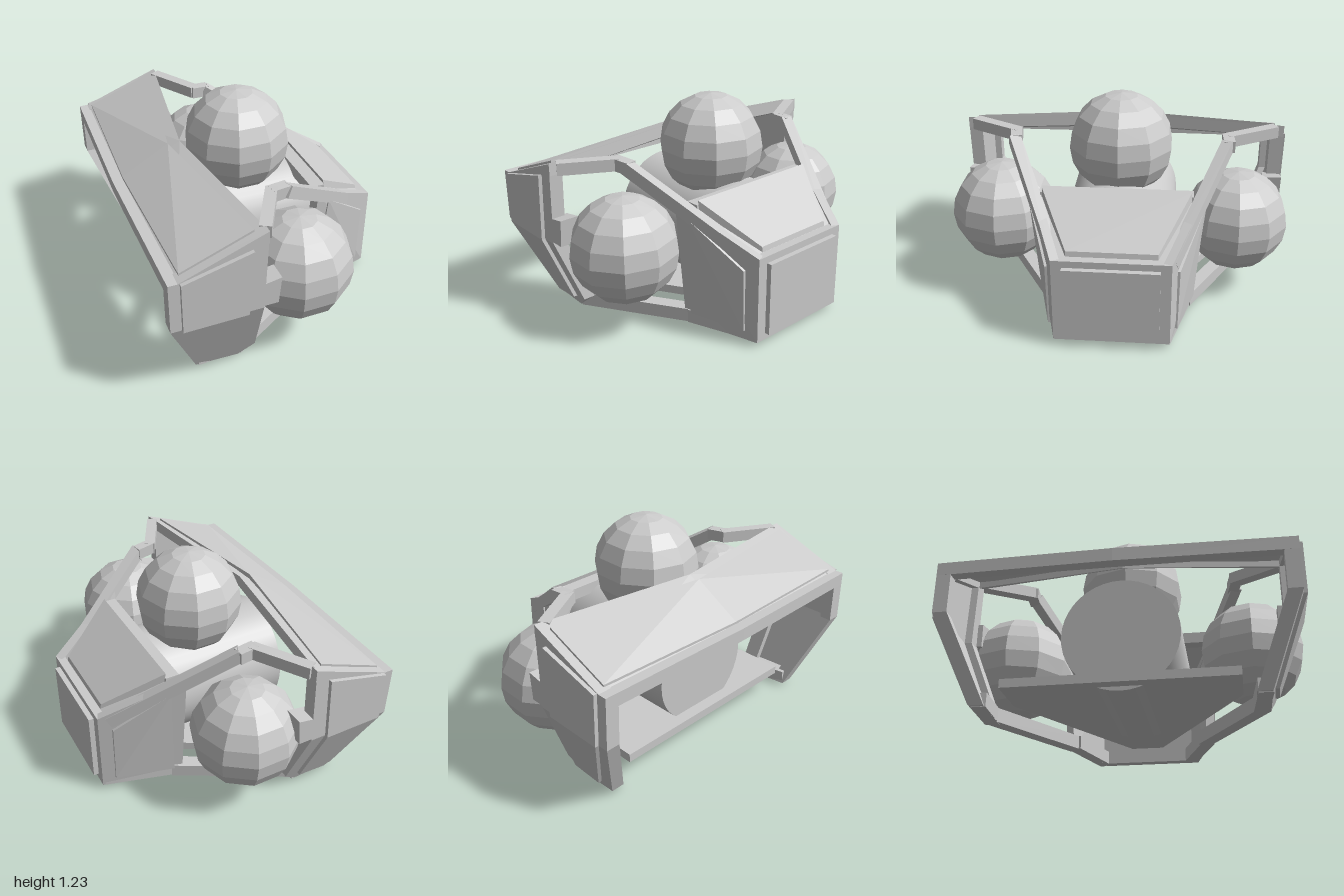
import * as THREE from 'three';
import { ConvexGeometry } from 'three/addons/geometries/ConvexGeometry.js';

const smooth = new THREE.MeshStandardMaterial({ color: 0xcccccc });
const flat = new THREE.MeshStandardMaterial({ color: 0xcccccc, flatShading: true });

export function createModel() {
  const model = new THREE.Group();
  const hull = new THREE.Group();
  hull.name = 'hull';
  hull.position.z = -0.006;
  model.add(hull);

  const add = (name, geometry, material = flat, parent = hull) => {
    const mesh = new THREE.Mesh(geometry, material);
    mesh.name = name;
    parent.add(mesh);
    return mesh;
  };
  const box = (name, x0, x1, y0, y1, z0, z1) =>
    add(name, new THREE.BoxGeometry(x1 - x0, y1 - y0, z1 - z0))
      .position.set((x0 + x1) / 2, (y0 + y1) / 2, (z0 + z1) / 2);
  // Plate: a convex outline thickened along an offset; s mirrors it in z
  const plate = (name, points, offset, s = 1) => {
    const v = [];
    for (const [x, y, z] of points) {
      v.push(new THREE.Vector3(x, y, z * s));
      v.push(new THREE.Vector3(x + offset[0], y + offset[1], (z + offset[2]) * s));
    }
    add(name, new ConvexGeometry(v));
  };
  // Square-section beams along a path
  const beams = (name, path, w, h, s = 1) => {
    const group = new THREE.Group();
    group.name = name;
    hull.add(group);
    for (let i = 0; i + 1 < path.length; i++) {
      const a = new THREE.Vector3(...path[i]), b = new THREE.Vector3(...path[i + 1]);
      a.z *= s;
      b.z *= s;
      const m = add(name + 'Beam', new THREE.BoxGeometry(w, h, a.distanceTo(b) + w * 0.4), flat, group);
      m.position.copy(a).lerp(b, 0.5);
      m.lookAt(b);
    }
  };

  // Three faceted tanks
  const tanks = [['topTank', -0.008, 0.92, -0.006], ['leftTank', 0.07, 0.495, 0.703], ['rightTank', 0.01, 0.455, -0.703]];
  for (const [name, x, y, z] of tanks)
    add(name, new THREE.SphereGeometry(0.31, 10, 10), flat, model).position.set(x, y, z);

  // Central drum along the hull
  const drum = add('drum', new THREE.CylinderGeometry(0.33, 0.33, 0.83, 40), smooth);
  drum.rotation.z = Math.PI / 2;
  drum.position.set(-0.055, 0.425, 0);

  // Floor narrowing towards the nose
  plate('floor', [[-0.54, 0.12, -0.64], [-0.54, 0.12, 0.64], [-0.25, 0.12, 0.64], [-0.25, 0.12, -0.64],
    [0.66, 0.12, 0.1], [0.66, 0.12, -0.1]], [0, 0.05, 0]);

  // Nose plate and its raised cover
  box('nosePlate', 0.67, 0.73, 0.03, 0.54, -0.325, 0.325);
  box('noseCover', 0.72, 0.76, 0.07, 0.5, -0.265, 0.265);

  // Sloping nose deck with a cross rung behind it
  plate('noseDeck', [[0.34, 0.74, 0.43], [0.34, 0.74, -0.43], [0.69, 0.535, 0.3], [0.69, 0.535, -0.3]], [0, -0.04, 0]);
  plate('noseDeckCover', [[0.355, 0.785, 0.42], [0.355, 0.785, -0.42], [0.675, 0.57, 0.25], [0.675, 0.57, -0.25]], [0.01, -0.05, 0]);
  box('crossRung', 0.28, 0.36, 0.69, 0.76, -0.43, 0.43);

  // Flank planes: nose cheeks taper in plan and lean, rear flanks lean in below the fold
  const cheek = (x, y, out = 0) => [x, y, 0.325 + (0.73 - x) * (0.25 + 0.23 * y) + out];
  const flank = (x, y, out = 0) => [x, y, 0.97 - Math.max(0, 0.49 - y) * 0.39 + out];

  for (const s of [1, -1]) {
    // Nose cheek and raised cover
    plate('noseCheek', [cheek(0.73, 0.03), cheek(0.73, 0.54), cheek(0.67, 0.54), cheek(0.28, 0.78), cheek(0.27, 0.02)],
      [-0.02, 0, -0.045], s);
    plate('noseCheekCover', [cheek(0.66, 0.09, 0.02), cheek(0.66, 0.46, 0.02), cheek(0.36, 0.695, 0.02), cheek(0.325, 0.09, 0.02)],
      [0, 0, -0.04], s);

    // Upper and lower rails joining nose and rear frame
    beams('upperRail', [[0.65, 0.515, 0.32], [0.025, 0.93, 0.625], [-0.06, 0.935, 0.63], [-0.22, 0.935, 0.91]], 0.065, 0.07, s);
    beams('lowerRail', [[0.69, 0.07, 0.29], [0.3, 0.06, 0.405], [-0.3, 0.045, 0.735], [-0.53, 0.055, 0.745]], 0.08, 0.08, s);

    // Rear flank frame: rear post, front post, folded at mid height
    plate('rearPostUpper', [flank(-0.74, 0.79), flank(-0.67, 0.79), flank(-0.67, 0.49), flank(-0.74, 0.49)], [0, 0, -0.08], s);
    plate('rearPostLower', [flank(-0.74, 0.49), flank(-0.67, 0.49), flank(-0.47, 0.02), flank(-0.56, 0.02)], [0, 0, -0.08], s);
    plate('frontPostUpper', [flank(-0.22, 0.97), flank(-0.31, 0.93), flank(-0.34, 0.49), flank(-0.24, 0.49)], [0, 0, -0.08], s);
    plate('frontPostLower', [flank(-0.34, 0.49), flank(-0.24, 0.49), flank(-0.22, 0.08), flank(-0.31, 0.005)], [0, 0, -0.08], s);
    plate('flankFoot', [flank(-0.56, 0.02), flank(-0.31, 0), flank(-0.22, 0.08), flank(-0.53, 0.09)], [0, 0, -0.08], s);
    plate('flankHead', [flank(-0.69, 0.79), flank(-0.22, 0.97), flank(-0.22, 0.9), flank(-0.69, 0.72)], [0, 0, -0.08], s);

    // Raised flank cover in two folded halves
    plate('flankCoverUpper', [flank(-0.68, 0.79, 0.022), flank(-0.305, 0.885, 0.022), flank(-0.33, 0.49, 0.022), flank(-0.68, 0.49, 0.022)],
      [0, 0, -0.06], s);
    plate('flankCoverLower', [flank(-0.68, 0.49, 0.022), flank(-0.33, 0.49, 0.022), flank(-0.305, 0.07, 0.022), flank(-0.49, 0.055, 0.022)],
      [0, 0, -0.06], s);

    // Tank clamp on the front post
    plate('tankClamp', [[-0.26, 0.5, 0.97], [-0.16, 0.5, 0.97], [-0.145, 0.66, 0.97], [-0.26, 0.64, 0.97]], [0, 0, -0.11], s);

    // Swept rear roof with edge beams and a raised cover
    plate('roof', [[-0.69, 0.785, 0.97], [-0.71, 0.785, 0], [-0.355, 0.97, 0], [-0.22, 0.97, 0.97]], [0, -0.03, 0], s);
    plate('roofFrontBeam', [[-0.22, 0.97, 0.97], [-0.355, 0.97, 0], [-0.42, 0.935, 0], [-0.29, 0.94, 0.97]], [0, -0.07, 0], s);
    plate('roofRearBeam', [[-0.74, 0.79, 0.97], [-0.76, 0.79, 0], [-0.69, 0.79, 0], [-0.68, 0.79, 0.97]], [0, -0.075, 0], s);
    plate('roofCover', [[-0.67, 0.81, 0.92], [-0.7, 0.805, 0], [-0.425, 0.965, 0], [-0.28, 0.962, 0.92]], [0, -0.03, 0], s);
  }
  return model;
}
